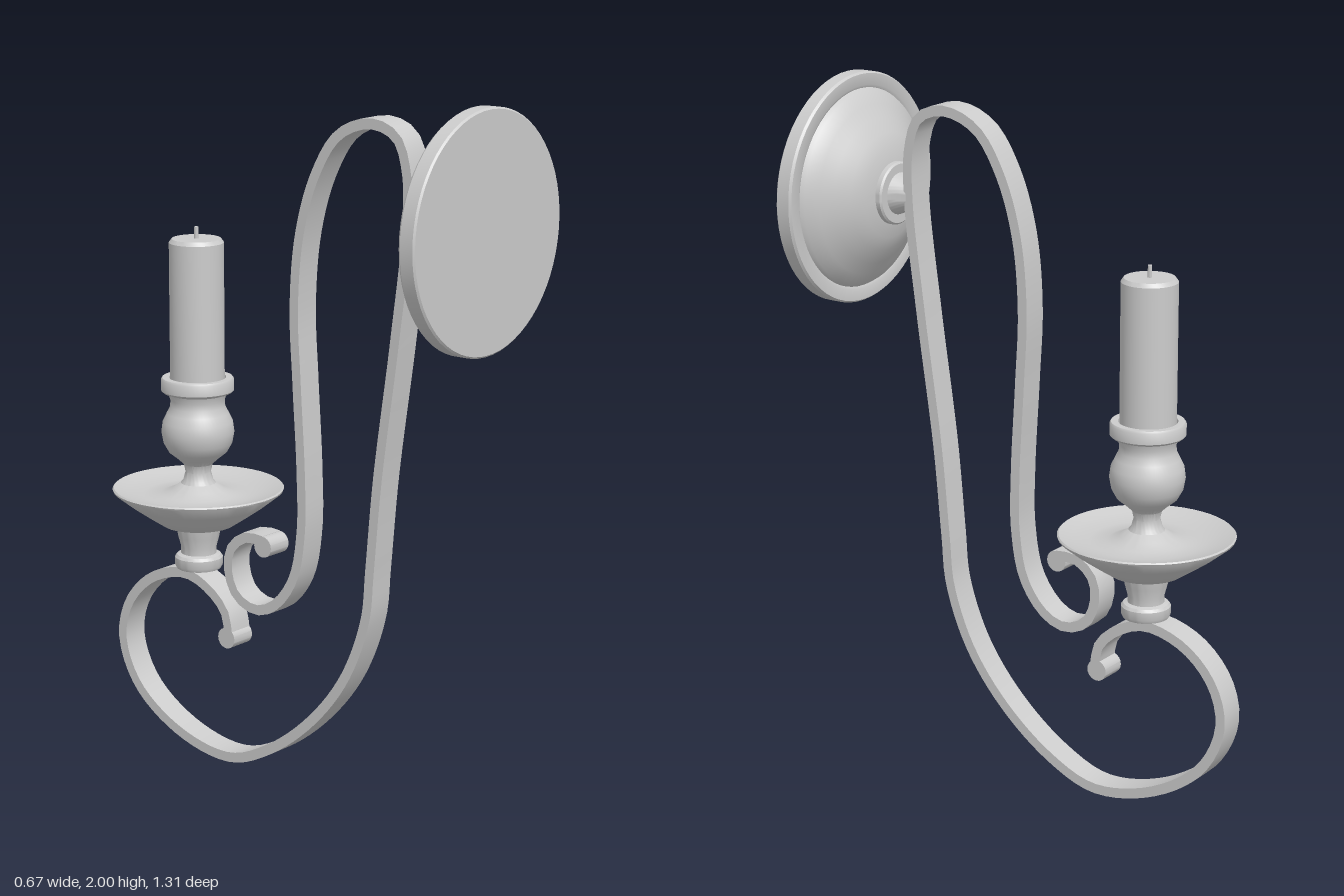
import * as THREE from 'three';
import { toCreasedNormals } from 'three/addons/utils/BufferGeometryUtils.js';

const material = new THREE.MeshStandardMaterial({ color: 0xcccccc });
const STRAP_WIDTH = 0.08;
const STRAP_THICKNESS = 0.03;
const CANDLE_Z = -0.365;

function part(name, geometry, crease = 0.6) {
  const mesh = new THREE.Mesh(toCreasedNormals(geometry, crease), material);
  mesh.name = name;
  return mesh;
}

// Turned part from [radius, height] pairs listed bottom to top
function turned(name, profile, segments = 48) {
  return part(name, new THREE.LatheGeometry(profile.map(([r, y]) => new THREE.Vector2(r, y)), segments));
}

// Flat strap following [z, y] points, extruded across x
function strap(name, path) {
  const curve = new THREE.CatmullRomCurve3(path.map(([z, y]) => new THREE.Vector3(-z, y, 0)), false, 'centripetal');
  const left = [], right = [], steps = 160;
  for (let i = 0; i <= steps; i++) {
    const p = curve.getPointAt(i / steps);
    const t = curve.getTangentAt(i / steps);
    const n = new THREE.Vector2(-t.y, t.x).multiplyScalar(STRAP_THICKNESS / 2);
    left.push(new THREE.Vector2(p.x + n.x, p.y + n.y));
    right.push(new THREE.Vector2(p.x - n.x, p.y - n.y));
  }
  const geometry = new THREE.ExtrudeGeometry(new THREE.Shape([...left, ...right.reverse()]), {
    depth: STRAP_WIDTH, bevelEnabled: false,
  });
  geometry.translate(0, 0, -STRAP_WIDTH / 2).rotateY(Math.PI / 2);
  return part(name, geometry);
}

export function createModel() {
  const model = new THREE.Group();
  model.name = 'candleSconce';

  // Round wall plate with domed face and a short neck to the arm
  const plate = turned('wallPlate', [
    [0, 0], [0.328, 0], [0.333, 0.005], [0.333, 0.045], [0.328, 0.052], [0.295, 0.052], [0.287, 0.048],
    [0.28, 0.06], [0.245, 0.085], [0.21, 0.11], [0.17, 0.138], [0.13, 0.157], [0.09, 0.164],
    [0.09, 0.178], [0.085, 0.183], [0.06, 0.183], [0.05, 0.208], [0.042, 0.232], [0, 0.232],
  ], 64);
  plate.rotation.x = -Math.PI / 2;
  plate.position.set(0, 1.667, 0.655);
  model.add(plate);

  // One continuous scrolled strap, from the upper curl round to the lower curl
  model.add(strap('scrollArm', [
    [-0.09, 0.70], [-0.155, 0.70], [-0.21, 0.655], [-0.22, 0.59], [-0.19, 0.52], [-0.12, 0.49],
    [-0.05, 0.515], [0.02, 0.605], [0.05, 0.75], [0.05, 0.92], [0.035, 1.18], [0.025, 1.395],
    [0.045, 1.605], [0.10, 1.775], [0.18, 1.89], [0.29, 1.93], [0.375, 1.90], [0.41, 1.81],
    [0.413, 1.66], [0.375, 1.34], [0.32, 0.945], [0.295, 0.68], [0.28, 0.535], [0.21, 0.355],
    [0.09, 0.20], [-0.07, 0.075], [-0.22, 0.017], [-0.415, 0.055], [-0.575, 0.165], [-0.635, 0.30],
    [-0.61, 0.415], [-0.52, 0.51], [-0.39, 0.55], [-0.30, 0.52], [-0.235, 0.46], [-0.22, 0.39],
  ]));

  // Rolled ends of both curls
  for (const [name, z, y] of [['upperCurlEnd', -0.09, 0.683], ['lowerCurlEnd', -0.228, 0.382]]) {
    const roll = part(name, new THREE.CylinderGeometry(0.031, 0.031, STRAP_WIDTH, 20).rotateZ(Math.PI / 2));
    roll.position.set(0, y, z);
    model.add(roll);
  }

  // Candle holder stack
  const holder = new THREE.Group();
  holder.name = 'candleHolder';
  holder.position.z = CANDLE_Z;
  holder.add(
    turned('foot', [
      [0, 0.565], [0.065, 0.565], [0.07, 0.575], [0.07, 0.598], [0.064, 0.606], [0.052, 0.61],
      [0.052, 0.63], [0.06, 0.66], [0.067, 0.695], [0, 0.695],
    ]),
    turned('dripPan', [
      [0, 0.69], [0.07, 0.69], [0.105, 0.697], [0.15, 0.727], [0.2, 0.762], [0.248, 0.8], [0.25, 0.806],
      [0.246, 0.81], [0.21, 0.798], [0.16, 0.788], [0.11, 0.79], [0.075, 0.804], [0.05, 0.822], [0, 0.835],
    ]),
    turned('socket', [
      [0.06, 0.81], [0.044, 0.83], [0.037, 0.855], [0.042, 0.878], [0.06, 0.895], [0.085, 0.915],
      [0.1, 0.942], [0.106, 0.975], [0.102, 1.005], [0.09, 1.03], [0.08, 1.05], [0.079, 1.07],
      [0.085, 1.088], [0.1, 1.093], [0.106, 1.099], [0.106, 1.13], [0.102, 1.136], [0.083, 1.136],
      [0.081, 1.125], [0, 1.125],
    ]),
    turned('candle', [[0, 1.12], [0.079, 1.12], [0.079, 1.53], [0.071, 1.541], [0, 1.541]]),
    turned('wick', [[0.006, 1.535], [0.006, 1.575], [0, 1.577]], 10),
  );
  model.add(holder);

  return model;
}
